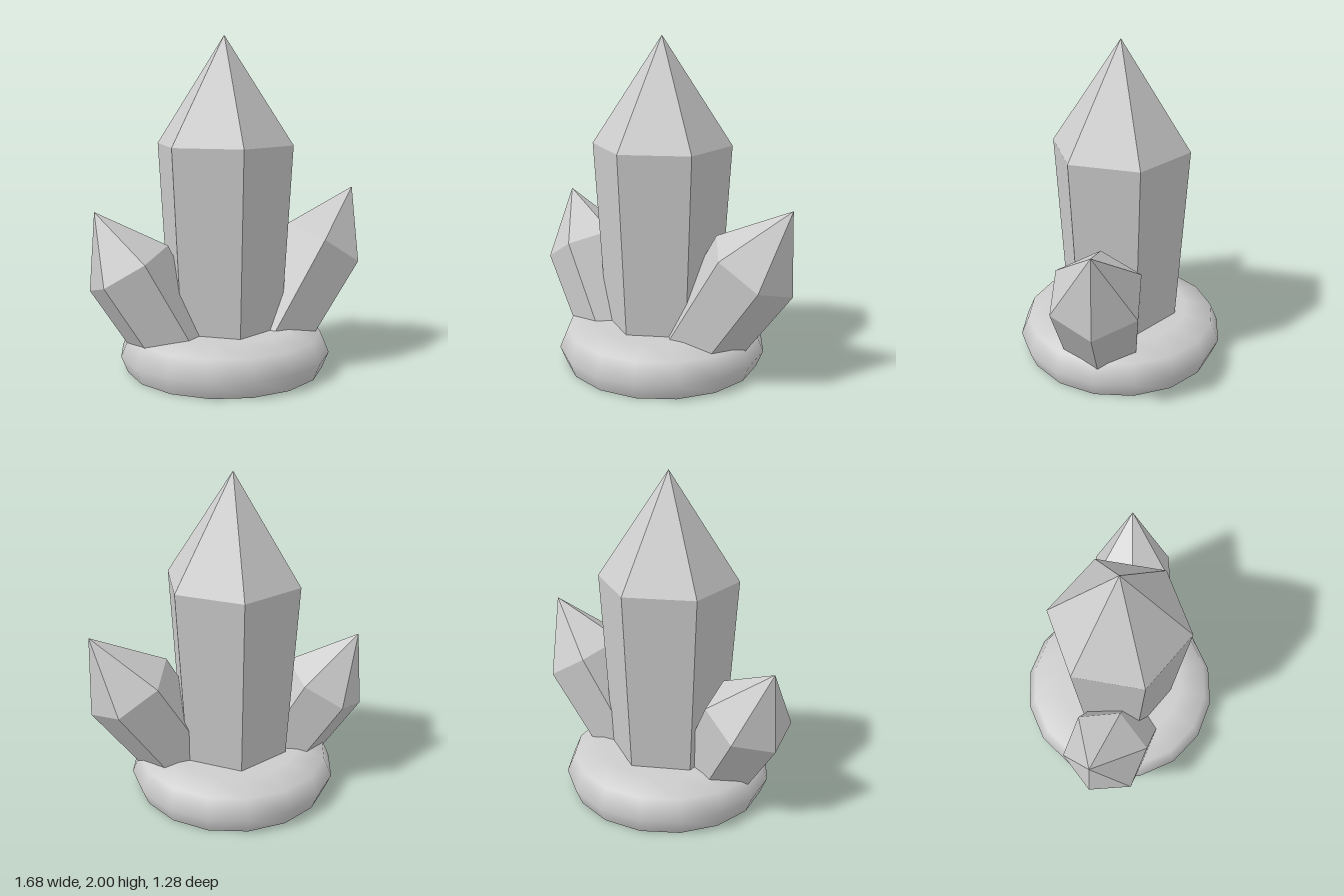
import * as THREE from 'three';

const crystalGrey = new THREE.MeshStandardMaterial({ color: 0xcccccc, side: THREE.DoubleSide });
crystalGrey.name = 'crystalGrey';

// Six-sided pointed crystal, open at the foot. The shoulder is the centre of its widest ring,
// tip is the point, and corner is any one vertex of that ring.
function makeCrystal(name, shoulder, tip, corner, bodyLength, footRadius) {
  const centre = new THREE.Vector3(...shoulder);
  const axis = new THREE.Vector3(...tip).sub(centre);
  const tipLength = axis.length();
  axis.normalize();
  const out = new THREE.Vector3(...corner).sub(centre);
  out.addScaledVector(axis, -out.dot(axis));
  const radius = out.length();
  out.normalize();

  const profile = [[footRadius, -bodyLength], [radius, 0], [0, tipLength]]
    .map(([r, y]) => new THREE.Vector2(r, y));
  const geometry = new THREE.LatheGeometry(profile, 6).toNonIndexed();
  geometry.computeVertexNormals(); // flat facets

  const side = new THREE.Vector3().crossVectors(axis, out);
  geometry.applyMatrix4(new THREE.Matrix4().makeBasis(side, axis, out).setPosition(centre));
  const mesh = new THREE.Mesh(geometry, crystalGrey);
  mesh.name = name;
  return mesh;
}

export function createModel() {
  const model = new THREE.Group();
  model.name = 'crystalCluster';

  // Rounded hollow base, open underneath
  const profile = [[0.6, 0], [0.64, 0.1], [0.59, 0.22], [0.42, 0.26], [0, 0.26]]
    .map(([r, y]) => new THREE.Vector2(r, y));
  const base = new THREE.Mesh(new THREE.LatheGeometry(profile, 16), crystalGrey);
  base.name = 'base';
  base.position.x = -0.033;
  model.add(base);

  // Tall upright crystal with a smaller one leaning out on each side
  model.add(
    makeCrystal('mainCrystal', [-0.033, 1.36, 0], [-0.033, 2, 0], [-0.033, 1.36, 0.42], 1.24, 0.347),
    makeCrystal('leftCrystal', [0.605, 0.715, -0.03], [0.825, 1.067, -0.07], [0.84, 0.565, -0.07], 0.68, 0.24),
    makeCrystal('rightCrystal', [-0.62, 0.64, 0.01], [-0.81, 0.975, -0.04], [-0.845, 0.505, -0.05], 0.58, 0.234),
  );
  return model;
}
